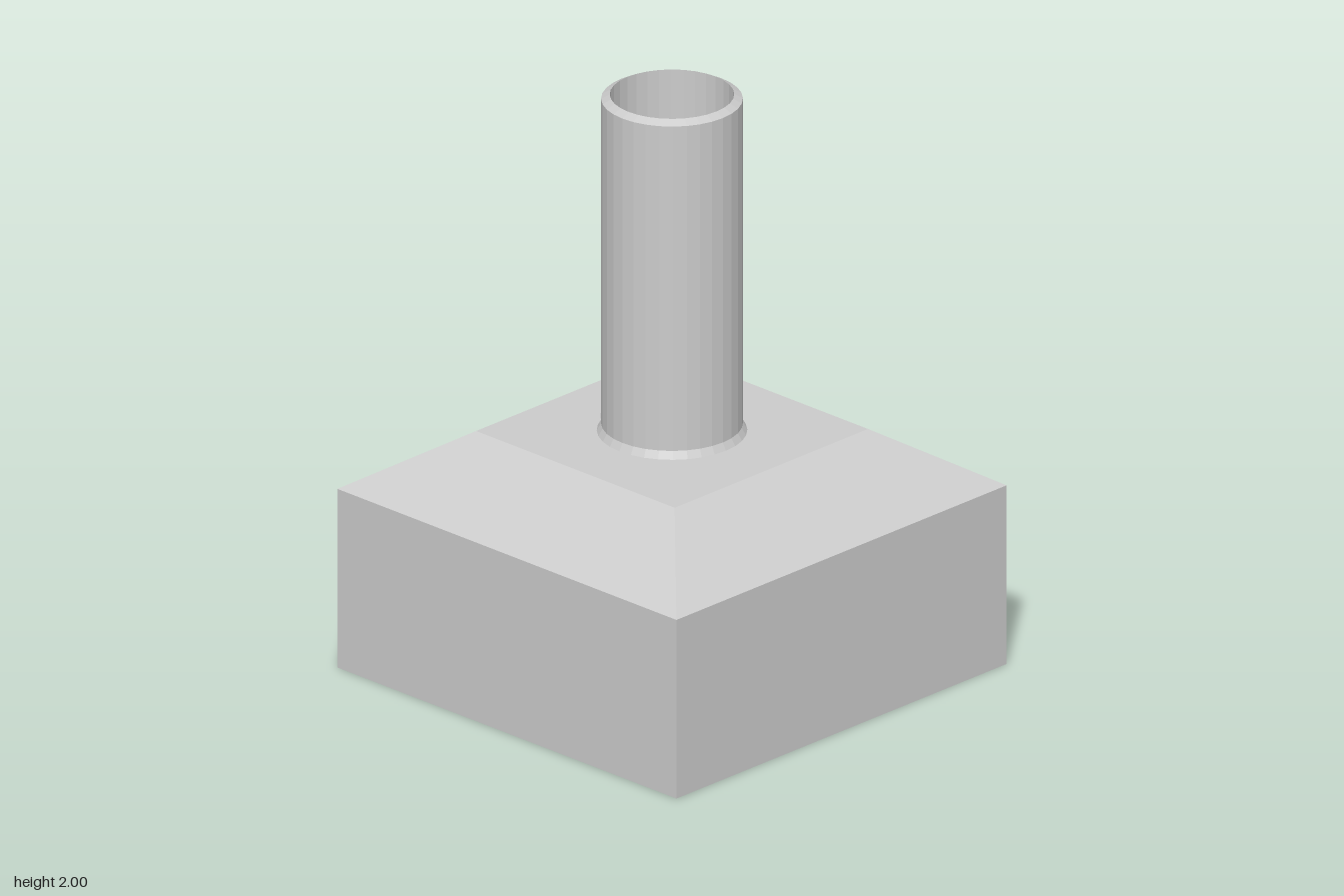
import * as THREE from 'three';

export function createModel() {
  const model = new THREE.Group();
  const material = new THREE.MeshStandardMaterial({ color: 0xcccccc, flatShading: true });

  const add = (name, geometry, x = 0, y = 0, z = 0) => {
    const mesh = new THREE.Mesh(geometry, material);
    mesh.name = name;
    mesh.position.set(x, y, z);
    model.add(mesh);
    return mesh;
  };

  // Square block with a sloped shoulder, as one closed four-sided profile
  const half = (h, y) => new THREE.Vector2(h * Math.SQRT2, y);
  const block = new THREE.LatheGeometry(
    [half(0, 0), half(0.76, 0), half(0.76, 0.625), half(0.445, 0.825), half(0, 0.825)], 4);
  block.rotateY(Math.PI / 4);
  add('base', block);

  // Hollow pipe: flared foot, bevelled rim, straight bore and floor
  const profile = [
    [0.242, 0.825], [0.228, 0.85], [0.228, 1.985], [0.2, 2], [0.2, 0.828], [0, 0.828],
  ].map(([r, y]) => new THREE.Vector2(r, y));
  add('pipe', new THREE.LatheGeometry(profile, 32));

  // Small tab at the back of the pipe foot
  const tab = add('footTab', new THREE.BoxGeometry(0.045, 0.02, 0.03), -0.068, 0.835, -0.222);
  tab.rotation.y = 0.29;

  return model;
}
